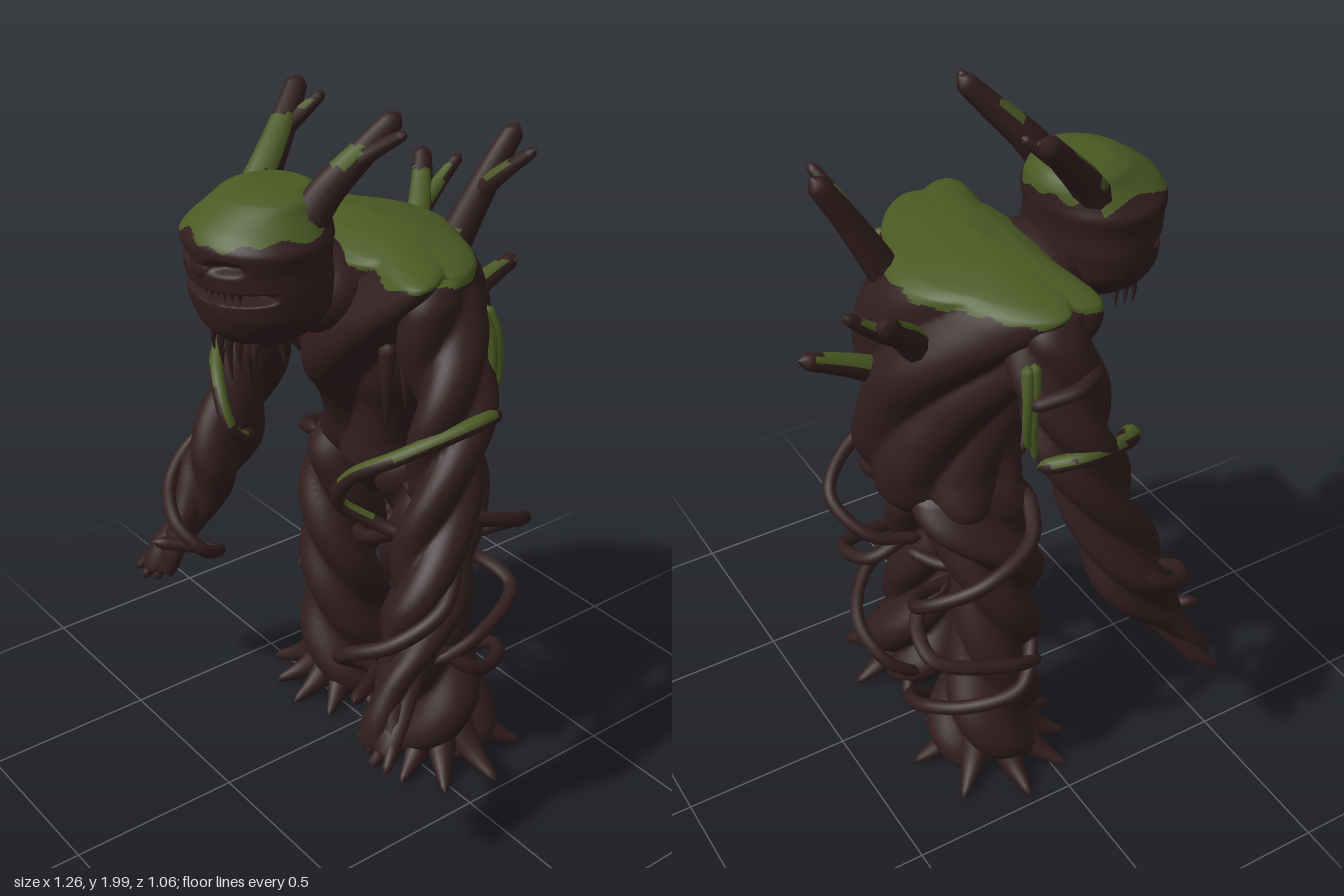
import * as THREE from 'three';
import { mergeVertices } from 'three/addons/utils/BufferGeometryUtils.js';

const V = (p) => new THREE.Vector3(p[0], p[1], p[2]);

export function createModel() {
  const root = new THREE.Group();
  root.name = 'treeGiant';
  const bark = new THREE.MeshStandardMaterial({ color: 0x311d1e });
  bark.name = 'bark';
  const moss = new THREE.MeshStandardMaterial({ color: 0x4a5923 });
  moss.name = 'moss';

  // Adds a mesh; faces for which isMoss(centre, normal) holds become green
  function add(geo, name, isMoss) {
    if (isMoss) {
      const pos = geo.attributes.position, idx = geo.index.array;
      const parts = [[], []];
      const tri = new THREE.Triangle(), c = new THREE.Vector3(), n = new THREE.Vector3();
      for (let i = 0; i < idx.length; i += 3) {
        tri.setFromAttributeAndIndices(pos, idx[i], idx[i + 1], idx[i + 2]);
        tri.getMidpoint(c);
        tri.getNormal(n);
        parts[isMoss(c, n) ? 1 : 0].push(idx[i], idx[i + 1], idx[i + 2]);
      }
      geo.setIndex([...parts[0], ...parts[1]]);
      geo.addGroup(0, parts[0].length, 0);
      geo.addGroup(parts[0].length, parts[1].length, 1);
    }
    const mesh = new THREE.Mesh(geo, isMoss ? [bark, moss] : bark);
    mesh.name = name;
    root.add(mesh);
    return mesh;
  }

  // Lofts level rings [x, y, z, rx, rz] from bottom to top, ridged like twisted strands
  function trunk(secs, { rings = 100, radial = 48, lobes = 0, amp = 0, twist = 0, shape } = {}) {
    const mid = new THREE.CatmullRomCurve3(secs.map(V));
    const rad = new THREE.CatmullRomCurve3(secs.map((s) => new THREE.Vector3(s[3], s[4], 0)));
    const pos = [], idx = [];
    for (let i = 0; i <= rings; i++) {
      const t = i / rings, p = mid.getPoint(t), r = rad.getPoint(t);
      const a = amp * Math.min(1, (1 - t) * 4);
      for (let j = 0; j < radial; j++) {
        const th = (j / radial) * Math.PI * 2;
        const k = 1 + a * (Math.abs(Math.cos((lobes * (th + twist * p.y)) / 2)) - 0.6);
        const v = new THREE.Vector3(
          p.x + Math.max(r.x, 0.001) * k * Math.cos(th), p.y,
          p.z + Math.max(r.y, 0.001) * k * Math.sin(th));
        if (shape) shape(v);
        pos.push(v.x, v.y, v.z);
        if (i < rings) {
          const b = i * radial + j, n = i * radial + ((j + 1) % radial);
          idx.push(b, b + radial, n, n, b + radial, n + radial);
        }
      }
    }
    const g = new THREE.BufferGeometry();
    g.setAttribute('position', new THREE.Float32BufferAttribute(pos, 3));
    g.setIndex(idx);
    g.computeVertexNormals();
    return g;
  }

  // Round tapering stem along a smooth path
  function stem(pts, r, taper = 0.4) {
    const curve = new THREE.CatmullRomCurve3(pts.map(V));
    const seg = pts.length * 8, sides = 9;
    const g = new THREE.TubeGeometry(curve, seg, r, sides);
    const pos = g.attributes.position, v = new THREE.Vector3();
    for (let i = 0; i <= seg; i++) {
      const t = i / seg, c = curve.getPointAt(t);
      const f = (1 - taper * t) * Math.sqrt(Math.min(1, (1 - t) * seg / 2, t * seg / 2));
      for (let j = 0; j <= sides; j++) {
        const k = i * (sides + 1) + j;
        v.fromBufferAttribute(pos, k).sub(c).multiplyScalar(Math.max(f, 0.01)).add(c);
        pos.setXYZ(k, v.x, v.y, v.z);
      }
    }
    g.deleteAttribute('uv');
    g.deleteAttribute('normal');
    const m = mergeVertices(g, 1e-5);
    m.computeVertexNormals();
    return m;
  }

  const ellipsoid = (name, x, y, z, sx, sy, sz) => {
    const m = add(new THREE.SphereGeometry(1, 24, 16), name);
    m.position.set(x, y, z);
    m.scale.set(sx, sy, sz);
  };
  const wave = (c) => 0.012 * Math.sin(c.x * 31 + c.z * 17) + 0.008 * Math.sin(c.x * 60 - c.z * 40);

  // Torso with forward shoulders and a mossy top
  add(trunk([
    [0, 0.78, -0.1, 0.001, 0.001], [0, 0.81, -0.11, 0.09, 0.08], [0, 0.87, -0.13, 0.2, 0.15],
    [0, 0.95, -0.14, 0.255, 0.2], [0, 1.05, -0.15, 0.22, 0.22], [0, 1.15, -0.13, 0.22, 0.235],
    [0, 1.25, -0.09, 0.24, 0.265], [0, 1.35, -0.07, 0.28, 0.28], [0, 1.45, -0.06, 0.33, 0.265],
    [0, 1.54, -0.06, 0.375, 0.225], [0, 1.595, -0.055, 0.385, 0.195], [0, 1.615, -0.05, 0.35, 0.17],
    [0, 1.645, -0.03, 0.2, 0.1], [0, 1.665, -0.02, 0.001, 0.001],
  ], {
    rings: 120, radial: 108, lobes: 6, amp: 0.16, twist: 3,
    shape: (v) => {
      v.z += 0.1 * (v.x / 0.38) ** 2 * THREE.MathUtils.smoothstep(v.y, 1.25, 1.55);
    },
  }), 'torso', (c) => c.y > 1.582 + 0.6 * wave(c));
  ellipsoid('neck', 0, 1.5, 0.15, 0.17, 0.13, 0.13);

  // Head with sunken eyes and a grinning mouth cut into the front
  add(trunk([
    [0, 1.395, 0.34, 0.001, 0.001], [0, 1.415, 0.34, 0.1, 0.09], [0, 1.46, 0.335, 0.165, 0.152],
    [0, 1.52, 0.335, 0.205, 0.172], [0, 1.565, 0.335, 0.21, 0.176], [0, 1.59, 0.335, 0.21, 0.18],
    [0, 1.64, 0.34, 0.205, 0.182], [0, 1.69, 0.34, 0.21, 0.188], [0, 1.725, 0.33, 0.185, 0.18],
    [0, 1.76, 0.31, 0.155, 0.158], [0, 1.79, 0.295, 0.135, 0.125], [0, 1.808, 0.285, 0.09, 0.08],
    [0, 1.812, 0.28, 0.001, 0.001],
  ], {
    rings: 160, radial: 108,
    shape: (v) => {
      if (v.z < 0.35) return;
      const dx = (Math.abs(v.x) - 0.085) / 0.045;
      const dy = (v.y - 1.652 - 0.1 * (Math.abs(v.x) - 0.085)) / 0.013;
      v.z -= 0.035 * Math.exp(-(dx ** 4) - dy * dy);
      const cut = Math.exp(-(((v.y - 1.567 - 0.5 * v.x * v.x) / 0.012) ** 4));
      v.z -= Math.max(0, v.z - 0.41) * cut;
    },
  }), 'head', (c) => c.y > 1.708 + 0.6 * c.x * c.x + wave(c) + (c.z < 0.25 ? 0.025 : 0));
  ellipsoid('nose', 0, 1.635, 0.508, 0.04, 0.03, 0.018);

  // Teeth under the upper lip
  for (let i = -5; i <= 5; i++) {
    const a = i * 0.12;
    const tooth = add(new THREE.ConeGeometry(0.009, 0.025, 6), 'tooth');
    tooth.position.set(Math.sin(a) * 0.19, 1.573, 0.335 + Math.cos(a) * 0.16);
    tooth.rotation.x = Math.PI;
  }
  // Hanging beard of roots
  [[-0.09, 1.35], [-0.055, 1.32], [-0.015, 1.29], [0.03, 1.33], [0.07, 1.3], [0.1, 1.37]].forEach(([x, y]) =>
    add(stem([[x * 0.9, 1.45, 0.41], [x, 1.4, 0.425], [x * 1.05, y, 0.42]], 0.017, 0.9), 'beardRoot'));

  // Antlers and back branches: [name, radius, mossy height range, path]
  const branches = [
    ['antler', 0.054, [1.78, 1.92], [[-0.115, 1.7, 0.29], [-0.125, 1.8, 0.22], [-0.165, 1.9, 0.13], [-0.21, 1.99, 0.05]]],
    ['antlerFork', 0.027, [1.93, 1.95], [[-0.155, 1.87, 0.15], [-0.135, 1.92, 0.09], [-0.115, 1.965, 0.04]]],
    ['antler', 0.054, [1.87, 1.92], [[0.115, 1.7, 0.29], [0.13, 1.8, 0.22], [0.17, 1.9, 0.13], [0.21, 1.99, 0.05]]],
    ['antlerFork', 0.027, [1.88, 1.91], [[0.16, 1.87, 0.16], [0.22, 1.92, 0.12], [0.285, 1.965, 0.09]]],
    ['backBranch', 0.056, [1.55, 1.6], [[0.08, 1.45, -0.18], [0.1, 1.6, -0.26], [0.12, 1.73, -0.33], [0.14, 1.86, -0.41]]],
    ['backFork', 0.03, [1.73, 1.79], [[0.11, 1.68, -0.3], [0.18, 1.75, -0.32], [0.265, 1.83, -0.36]]],
    ['backBranch', 0.05, [1.5, 1.64], [[-0.1, 1.4, -0.22], [-0.16, 1.53, -0.32], [-0.22, 1.6, -0.38], [-0.29, 1.68, -0.44]]],
    ['backFork', 0.03, [1.55, 1.65], [[-0.17, 1.54, -0.33], [-0.19, 1.6, -0.42], [-0.19, 1.67, -0.5]]],
    ['backBranch', 0.045, [1.33, 1.42], [[0.02, 1.28, -0.25], [0.025, 1.36, -0.39], [0.03, 1.42, -0.53]]],
  ];
  branches.forEach(([name, r, [lo, hi], pts]) => add(stem(pts, r, 0.5), name,
    (c, n) => n.y > 0.35 && c.y > lo && c.y < hi));

  for (const s of [-1, 1]) {
    const m = (pts) => pts.map(([x, ...rest]) => [x * s, ...rest]);

    // Twisted arm
    add(trunk(m([
      [0.55, 0.42, 0.375, 0.001, 0.001], [0.548, 0.435, 0.37, 0.06, 0.04], [0.535, 0.49, 0.345, 0.064, 0.048],
      [0.515, 0.58, 0.285, 0.058, 0.062], [0.505, 0.68, 0.215, 0.072, 0.085], [0.49, 0.8, 0.17, 0.093, 0.105],
      [0.46, 0.95, 0.12, 0.085, 0.1], [0.44, 1.07, 0.08, 0.083, 0.1], [0.41, 1.25, 0.03, 0.09, 0.11],
      [0.355, 1.4, 0.01, 0.097, 0.115], [0.315, 1.52, 0.01, 0.1, 0.115], [0.3, 1.585, 0.02, 0.08, 0.09],
      [0.3, 1.6, 0.02, 0.001, 0.001],
    ]), { lobes: 3, amp: 0.42, twist: 9 * s }), 'arm', (c) => c.y > 1.582 + 0.6 * wave(c));

    // Root fingers
    [[0.625, 0.4, 0.415], [0.575, 0.39, 0.42], [0.53, 0.4, 0.4], [0.5, 0.41, 0.36]].forEach((e) =>
      add(stem(m([[0.53, 0.54, 0.315], [0.54 + (e[0] - 0.54) * 0.6, 0.455, 0.36], e]), 0.042, 0.75), 'finger'));

    // Twisted leg, blending into the hip
    add(trunk(m([
      [0.21, 0.015, -0.12, 0.001, 0.001], [0.21, 0.03, -0.12, 0.135, 0.135], [0.21, 0.1, -0.12, 0.155, 0.15],
      [0.21, 0.2, -0.11, 0.143, 0.14], [0.2, 0.35, -0.085, 0.122, 0.115], [0.2, 0.5, -0.075, 0.122, 0.114],
      [0.2, 0.65, -0.075, 0.124, 0.116], [0.185, 0.8, -0.1, 0.132, 0.135], [0.155, 0.9, -0.13, 0.135, 0.165],
      [0.13, 0.98, -0.14, 0.11, 0.15], [0.11, 1.07, -0.14, 0.001, 0.001],
    ]), { lobes: 3, amp: 0.4, twist: 9 * s }), 'leg');

    // Root toes: [direction in degrees from outward to front, length]
    [[0, 0.27], [35, 0.27], [65, 0.25], [95, 0.25], [125, 0.25], [160, 0.2], [220, 0.2], [265, 0.235], [315, 0.25]]
      .forEach(([deg, len]) => {
        const a = deg * Math.PI / 180, c = Math.cos(a), d = Math.sin(a);
        add(stem(m([0.25, 0.62, 1].map((f, i) =>
          [0.21 + c * len * f, [0.12, 0.05, 0.012][i], -0.12 + d * len * f])), 0.062, 0.85), 'toe');
      });

    // Loose vines looping round the limbs
    const vines = [
      ['lowerArmVine', [[0.5, 0.88, 0.08], [0.585, 0.8, 0.2], [0.54, 0.72, 0.32], [0.42, 0.65, 0.38],
        [0.34, 0.58, 0.34], [0.38, 0.53, 0.26], [0.5, 0.56, 0.42]]],
      ['hipVine', [[0.2, 0.94, 0.02], [0.34, 0.88, -0.05], [0.38, 0.82, -0.22], [0.28, 0.73, -0.36],
        [0.15, 0.64, -0.3], [0.1, 0.6, -0.15]]],
      ['shinVine', [[0.28, 0.46, 0], [0.38, 0.37, -0.1], [0.33, 0.32, -0.24], [0.2, 0.26, -0.33],
        [0.08, 0.18, -0.3], [0.05, 0.1, -0.2]]],
      ['calfVine', [[0.12, 0.62, -0.18], [0.14, 0.56, -0.3], [0.28, 0.51, -0.33], [0.36, 0.45, -0.12], [0.33, 0.4, 0]]],
    ];
    vines.forEach(([name, pts]) => add(stem(m(pts), 0.023, 0.15), name));
    add(stem(m([[0.43, 1.21, -0.1], [0.5, 1.25, 0], [0.42, 1.18, 0.2], [0.3, 1.09, 0.28],
      [0.25, 1.0, 0.28], [0.3, 0.93, 0.2], [0.4, 0.88, 0.12]]), 0.023, 0.15), 'upperArmVine',
    (c, n) => n.y > 0.4 + 10 * wave(c) && c.y > 0.95);

    // Moss and root strands hanging below the shoulder
    [[-0.08, 1.22], [-0.1, 1.26]].forEach(([z, y]) => {
      add(stem(m([[0.38, 1.5, z], [0.41, 1.42, z - 0.015], [0.415, 1.32, z - 0.02], [0.41, y, z - 0.01]]), 0.018, 0.5),
        'mossStrand').material = moss;
    });
    [[0.23, 1.15, 0.1], [0.26, 1.2, 0.06], [0.28, 1.17, 0.02]].forEach(([x, y, z]) =>
      add(stem(m([[x, 1.4, z], [x + 0.01, 1.28, z + 0.01], [x, y, z]]), 0.026, 0.85), 'armpitRoot'));
  }

  // Single vines: one round the left thigh, one round the right shoulder
  add(stem([[0.36, 0.91, -0.02], [0.24, 0.82, 0.05], [0.08, 0.72, 0.05], [-0.04, 0.66, -0.02],
    [-0.03, 0.58, -0.12], [0.12, 0.56, -0.2]], 0.023, 0.15), 'thighVine');
  add(stem([[-0.25, 1.36, 0.1], [-0.36, 1.43, 0.11], [-0.46, 1.44, 0.02], [-0.42, 1.4, -0.12]], 0.023, 0.15), 'shoulderVine');
  return root;
}
